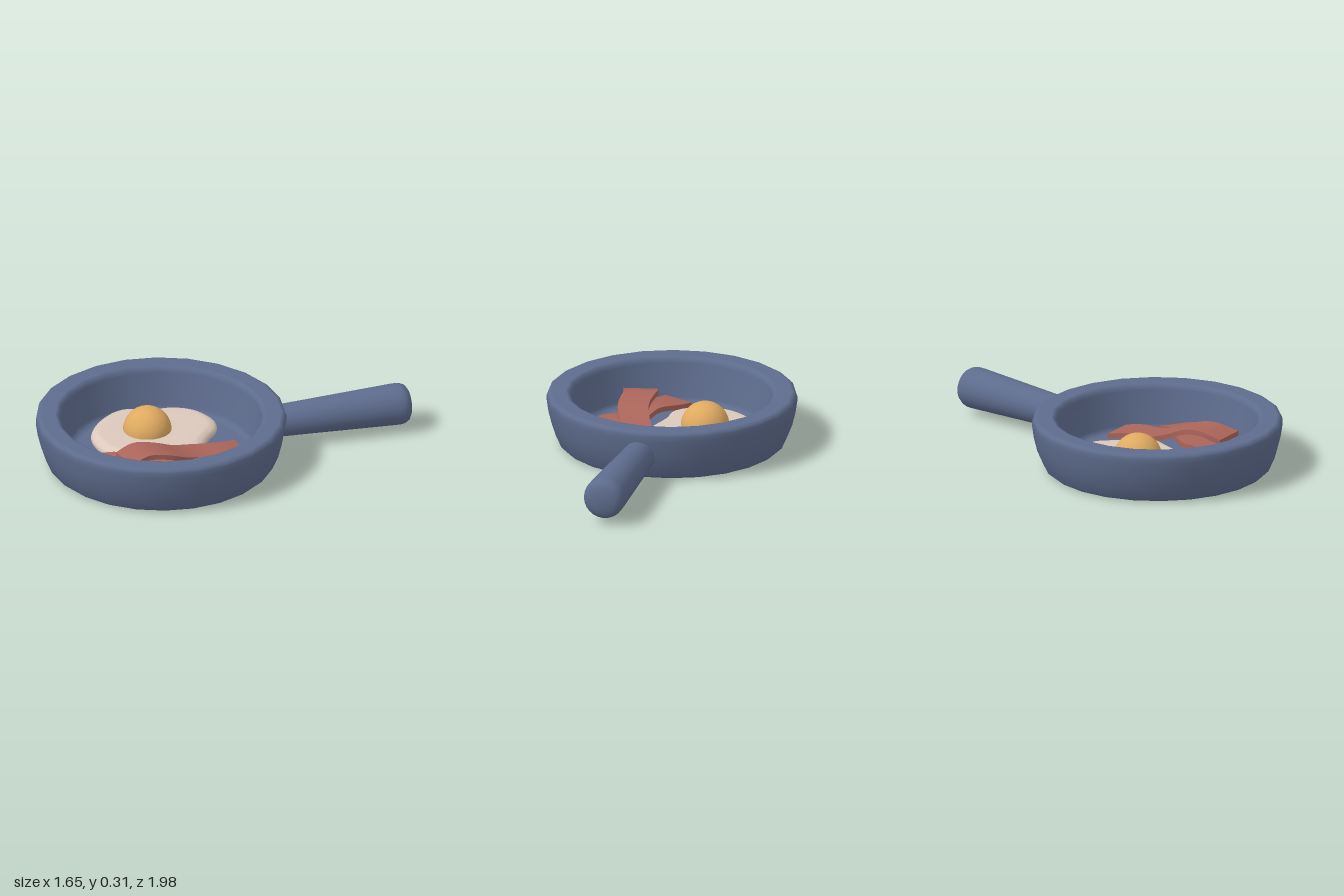
import * as THREE from 'three';

const material = (name, color) => {
  const m = new THREE.MeshStandardMaterial({ color });
  m.name = name;
  return m;
};
const v2 = (list) => list.map(([x, y]) => new THREE.Vector2(x, y));

// Wavy strip: a box whose length follows a straight line in plan and a smooth curve in height
function stripGeometry(start, end, tops, sway) {
  const g = new THREE.BoxGeometry(0.2, 0.03, 1, 4, 1, 28);
  const heights = new THREE.CatmullRomCurve3(tops.map((h, i) => new THREE.Vector3(i, h, 0)));
  const [x0, z0] = start, [x1, z1] = end;
  const length = Math.hypot(x1 - x0, z1 - z0);
  const dx = (x1 - x0) / length, dz = (z1 - z0) / length;
  const p = g.attributes.position;
  for (let i = 0; i < p.count; i++) {
    const t = p.getZ(i) + 0.5;
    const pinch = 1 - 0.12 * Math.sin(Math.PI * t);
    const side = p.getX(i) * pinch + sway * Math.sin(t * Math.PI * 4);
    p.setXYZ(i,
      x0 + dx * length * t + dz * side,
      heights.getPoint(t).y - 0.015 + p.getY(i),
      z0 + dz * length * t - dx * side);
  }
  g.computeVertexNormals();
  return g;
}

// Soft slab: outline rings that shrink towards a centre while rising
function slabGeometry(outline, [cx, cz], rings) {
  const n = 72;
  const edge = new THREE.CatmullRomCurve3(
    outline.map(([x, z]) => new THREE.Vector3(x, 0, z)), true).getSpacedPoints(n);
  const pos = [], index = [];
  for (const [s, y] of rings) {
    for (let i = 0; i < n; i++) {
      pos.push(cx + (edge[i].x - cx) * s, y, cz + (edge[i].z - cz) * s);
    }
  }
  for (let r = 0; r < rings.length - 1; r++) {
    for (let i = 0; i < n; i++) {
      const a = r * n + i, b = r * n + (i + 1) % n;
      index.push(a, a + n, b, b, a + n, b + n);
    }
  }
  const g = new THREE.BufferGeometry();
  g.setAttribute('position', new THREE.Float32BufferAttribute(pos, 3));
  g.setIndex(index);
  g.computeVertexNormals();
  return g;
}

export function createModel() {
  const iron = material('blue iron', 0x5e6c8d);
  const white = material('egg white', 0xdcc8bc);
  const yellow = material('yolk yellow', 0xdfaa60);
  const red = material('bacon red', 0xab655a);

  const model = new THREE.Group();
  model.name = 'fryingPan';
  const add = (name, geometry, mat) => {
    const mesh = new THREE.Mesh(geometry, mat);
    mesh.name = name;
    model.add(mesh);
    return mesh;
  };

  // Pan body: underside, bulging wall, flat rim, sloping inside and floor
  const panProfile = v2([
    [0, 0], [0.62, 0], [0.635, 0.003], [0.655, 0.02], [0.69, 0.1], [0.71, 0.18],
    [0.72, 0.25], [0.72, 0.28], [0.715, 0.295], [0.7, 0.305], [0.69, 0.305],
    [0.61, 0.305], [0.6, 0.303], [0.585, 0.29], [0.58, 0.27], [0.54, 0.08],
    [0.53, 0.06], [0.51, 0.05], [0.49, 0.05], [0, 0.05],
  ]);
  const pan = add('pan', new THREE.LatheGeometry(panProfile, 24), iron);
  pan.position.set(-0.11, 0, 0.27);
  pan.rotation.y = THREE.MathUtils.degToRad(10);

  // Handle: widening rod with a domed end, pointing away from the pan's centre
  const handleProfile = v2([
    [0, 0.64], [0.09, 0.64], [0.12, 1.4], [0.12, 1.43], [0.116, 1.45],
    [0.105, 1.47], [0.08, 1.485], [0.04, 1.493], [0, 1.495],
  ]);
  const handle = add('handle', new THREE.LatheGeometry(handleProfile, 24), iron);
  handle.position.set(-0.11, 0.15, 0.27);
  handle.rotation.order = 'YXZ';
  handle.rotation.set(Math.PI / 2, THREE.MathUtils.degToRad(145), 0);

  // Fried egg
  const eggOutline = [
    [-0.23, -0.21], [-0.35, -0.15], [-0.44, -0.04], [-0.56, 0.04], [-0.59, 0.11],
    [-0.58, 0.26], [-0.52, 0.4], [-0.44, 0.47], [-0.31, 0.52], [-0.19, 0.5],
    [-0.13, 0.42], [-0.03, 0.33], [0.06, 0.25], [0.08, 0.16], [0.03, 0],
    [0, -0.11], [-0.07, -0.18],
  ];
  const eggRings = [
    [0.96, 0.05], [0.99, 0.06], [1, 0.075], [0.985, 0.09], [0.95, 0.1],
    [0.9, 0.11], [0.84, 0.115], [0.6, 0.115], [0, 0.115],
  ];
  const egg = slabGeometry(eggOutline, [-0.26, 0.16], eggRings.reverse());
  add('eggWhite', egg, white);
  const yolk = add('eggYolk',
    new THREE.SphereGeometry(0.14, 32, 12, 0, Math.PI * 2, 0, Math.PI / 2), yellow);
  yolk.position.set(-0.28, 0.11, 0.18);

  // Bacon: one strip on the floor, another draped across it
  add('lowerBacon', stripGeometry([0.36, 0.3], [-0.29, 0.68],
    [0.1, 0.13, 0.13, 0.11, 0.13, 0.12, 0.1], 0.015), red);
  add('upperBacon', stripGeometry([0.255, -0.015], [-0.06, 0.68],
    [0.09, 0.11, 0.12, 0.15, 0.2, 0.22, 0.19], 0.015), red);

  return model;
}
